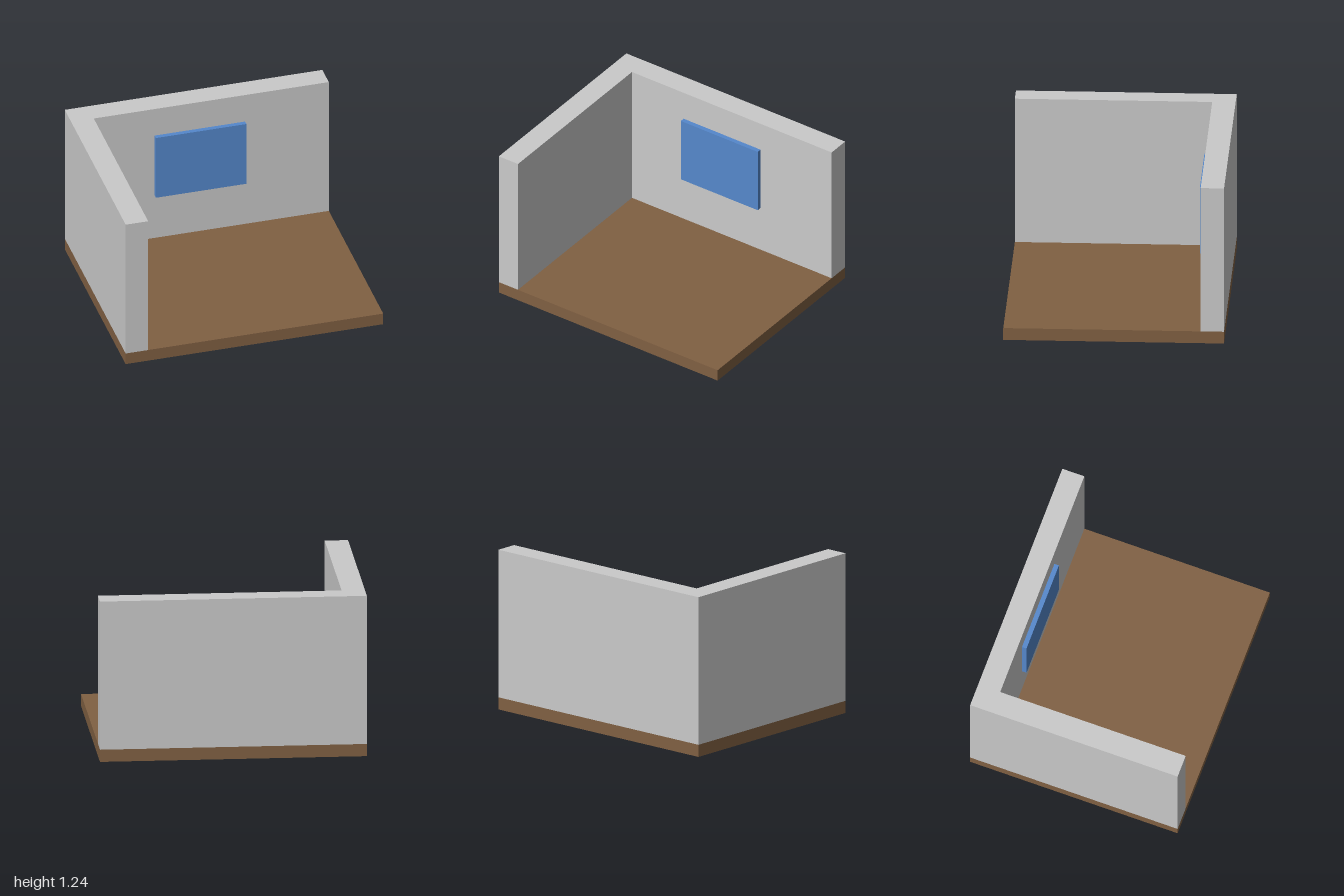
import * as THREE from 'three';

export function createModel() {
  const mat = (name, color) => {
    const m = new THREE.MeshStandardMaterial({ color });
    m.name = name;
    return m;
  };
  const wallGrey = mat('wall grey', 0xcacaca);
  const floorBrown = mat('floor brown', 0x806042);
  const windowBlue = mat('window blue', 0x5588cc);

  const room = new THREE.Group();
  room.name = 'room';

  // Box given by its extents along each axis
  const box = (name, material, [x0, x1], [y0, y1], [z0, z1]) => {
    const mesh = new THREE.Mesh(new THREE.BoxGeometry(x1 - x0, y1 - y0, z1 - z0), material);
    mesh.position.set((x0 + x1) / 2, (y0 + y1) / 2, (z0 + z1) / 2);
    mesh.name = name;
    room.add(mesh);
  };

  const halfDepth = 0.825, floorTop = 0.094, wallTop = 1.237;
  const sideInner = -0.825, backInner = -0.65;

  // Floor slab
  box('floor', floorBrown, [-1, 1], [0, floorTop], [-halfDepth, halfDepth]);

  // Two walls meeting at the back corner
  box('backWall', wallGrey, [-1, 1], [floorTop, wallTop], [-halfDepth, backInner]);
  box('sideWall', wallGrey, [-1, sideInner], [floorTop, wallTop], [backInner, halfDepth]);

  // Window panel standing proud of the back wall
  box('window', windowBlue, [-0.353, 0.35], [0.472, 1.002], [backInner, -0.614]);

  return room;
}
